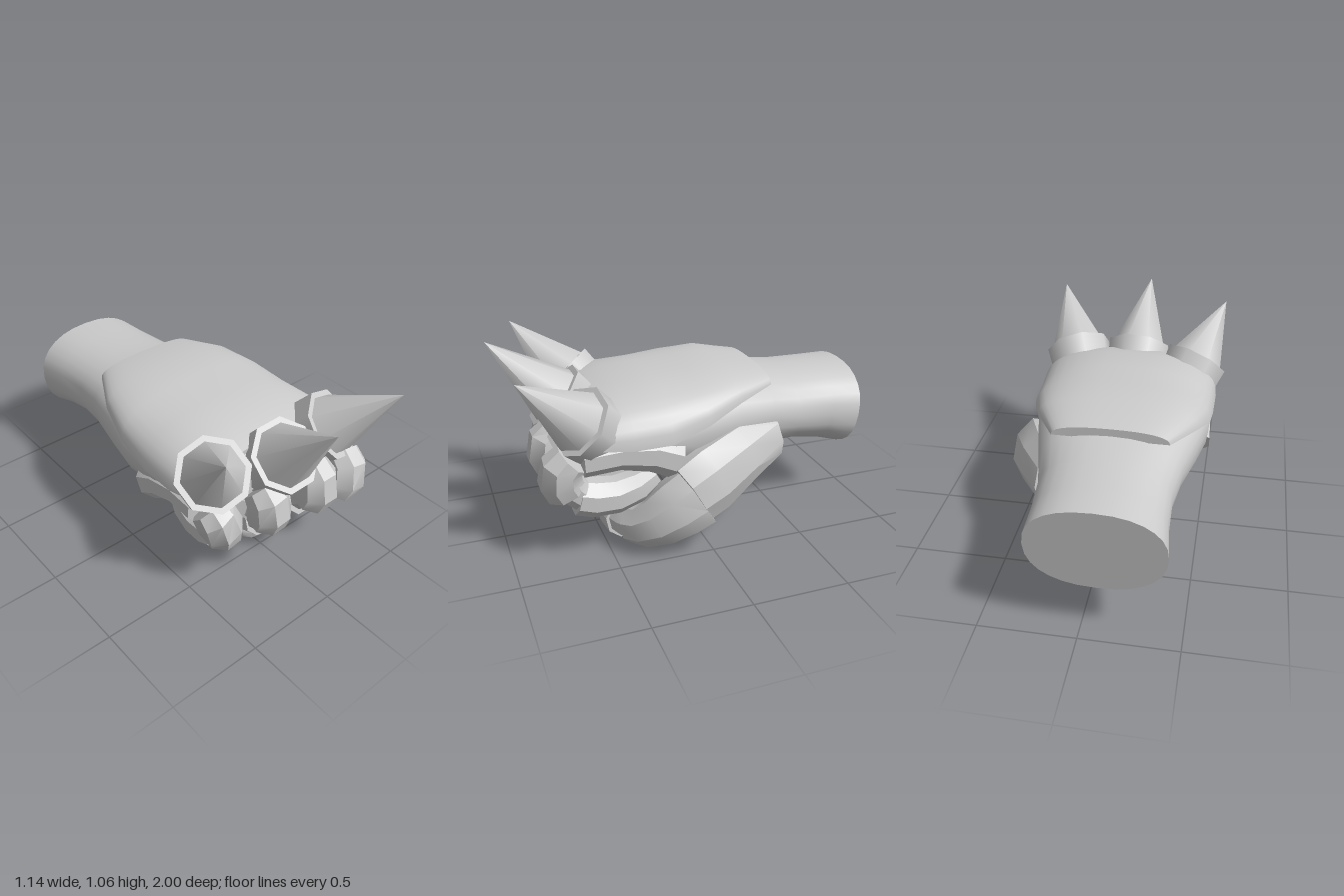
import * as THREE from 'three';
import { toCreasedNormals } from 'three/addons/utils/BufferGeometryUtils.js';

const V = (x, y, z) => new THREE.Vector3(x, y, z);
const material = new THREE.MeshStandardMaterial({ color: 0xcccccc });

// Skin a list of equal-length rings (counter-clockwise about the path) and cap both ends.
function loft(rings, crease) {
  const pos = [];
  const tri = (...p) => p.forEach((v) => pos.push(v.x, v.y, v.z));
  const n = rings[0].length;
  const middle = (r) => r.reduce((s, p) => s.add(p), V(0, 0, 0)).divideScalar(n);
  const first = rings[0], last = rings[rings.length - 1];
  const c0 = middle(first), c1 = middle(last);
  for (let j = 0; j < n; j++) {
    const k = (j + 1) % n;
    for (let i = 0; i < rings.length - 1; i++) {
      const a = rings[i], b = rings[i + 1];
      tri(a[j], a[k], b[k]);
      tri(a[j], b[k], b[j]);
    }
    tri(c0, first[k], first[j]);
    tri(c1, last[j], last[k]);
  }
  const g = new THREE.BufferGeometry();
  g.setAttribute('position', new THREE.Float32BufferAttribute(pos, 3));
  return toCreasedNormals(g, crease);
}

function mesh(name, geometry, parent) {
  const m = new THREE.Mesh(geometry, material);
  m.name = name;
  parent.add(m);
  return m;
}

// Octagonal segment along points [x, y, z, half width, half height].
function segment(name, pts, ref, parent) {
  const p = pts.map((q) => V(q[0], q[1], q[2]));
  const k = 1 / Math.cos(Math.PI / 8);
  const rings = p.map((c, i) => {
    const t = p[Math.min(i + 1, p.length - 1)].clone().sub(p[Math.max(i - 1, 0)]).normalize();
    const side = ref.clone().cross(t).normalize();
    const up = t.clone().cross(side);
    const rw = pts[i][3] * k, rh = (pts[i][4] ?? pts[i][3]) * k;
    return Array.from({ length: 8 }, (_, j) => {
      const a = (j + 0.5) * Math.PI / 4;
      return c.clone().addScaledVector(side, rw * Math.cos(a)).addScaledVector(up, rh * Math.sin(a));
    });
  });
  return mesh(name, loft(rings, 0.55), parent);
}

const soft = (v, e) => Math.sign(v) * Math.abs(v) ** e;

export function createModel() {
  const model = new THREE.Group();
  model.name = 'spikedGauntlet';

  // Wrist and palm: z, centre x, half width, widest y, top, bottom, slant
  const handRows = [
    [-0.967, -0.085, 0.335, 0.52, 0.755, 0.275, -0.13],
    [-0.8, -0.075, 0.325, 0.54, 0.76, 0.325, -0.07],
    [-0.6, -0.065, 0.33, 0.56, 0.765, 0.36, 0],
    [-0.42, -0.06, 0.365, 0.6, 0.785, 0.36, 0],
    [-0.2, -0.06, 0.42, 0.62, 0.82, 0.32, 0],
    [0, -0.055, 0.465, 0.62, 0.83, 0.3, 0],
    [0.18, -0.045, 0.475, 0.6, 0.82, 0.36, 0],
    [0.28, -0.045, 0.475, 0.61, 0.82, 0.48, 0],
    [0.48, -0.04, 0.45, 0.62, 0.8, 0.54, 0],
    [0.62, -0.04, 0.38, 0.63, 0.74, 0.57, 0],
  ];
  const handRings = handRows.map(([z, cx, rx, yc, top, bottom, slant]) =>
    Array.from({ length: 28 }, (_, j) => {
      const a = j / 28 * Math.PI * 2, s = Math.sin(a);
      const y = yc + soft(s, 0.87) * (s > 0 ? top - yc : yc - bottom);
      return V(cx + rx * soft(Math.cos(a), 0.87), y, z + slant * (y - yc));
    }));
  mesh('wristAndPalm', loft(handRings, 0.7), model);

  // Raised plate over the back of the hand: z, centre x, half width, edge y, top
  const plateRows = [
    [-0.42, -0.06, 0.295, 0.765, 0.825],
    [-0.2, -0.06, 0.415, 0.735, 0.865],
    [0, -0.05, 0.475, 0.665, 0.86],
    [0.2, -0.04, 0.492, 0.605, 0.85],
    [0.4, -0.035, 0.5, 0.61, 0.84],
    [0.56, -0.03, 0.47, 0.62, 0.79],
  ];
  const plateRings = plateRows.map(([z, cx, rx, edge, top]) =>
    Array.from({ length: 19 }, (_, j) => {
      const a = j / 18 * Math.PI;
      return V(cx + rx * soft(Math.cos(a), 0.8), edge + (top - edge) * Math.abs(Math.sin(a)) ** 0.8, z);
    }));
  mesh('backPlate', loft(plateRings, 0.7), model);

  // Curled fingers: pieces as [y, z, radius]
  const pieces = {
    Base: [[0.5, 0.16, 0.105], [0.55, 0.28, 0.1], [0.57, 0.45, 0.085], [0.56, 0.64, 0.085]],
    Knuckle: [[0.57, 0.69, 0.088], [0.53, 0.735, 0.1], [0.45, 0.745, 0.105], [0.39, 0.72, 0.098]],
    Joint: [[0.48, 0.72, 0.075], [0.4, 0.69, 0.078], [0.335, 0.63, 0.075], [0.315, 0.52, 0.065]],
    Tip: [[0.34, 0.66, 0.09], [0.318, 0.58, 0.095], [0.312, 0.46, 0.09], [0.345, 0.34, 0.08], [0.395, 0.25, 0.055]],
  };
  // name, x at knuckle, x at tip, height offset, depth offset
  const fingers = [
    ['index', 0.355, 0.31, 0, 0],
    ['middle', 0.11, 0.11, 0.05, 0.01],
    ['ring', -0.165, -0.13, 0.01, -0.05],
    ['little', -0.42, -0.315, -0.04, -0.15],
  ];
  for (const [name, xTop, xTip, dy, dz] of fingers) {
    const finger = new THREE.Group();
    finger.name = name + 'Finger';
    model.add(finger);
    for (const [piece, rows] of Object.entries(pieces)) {
      const pts = rows.map(([y, z, r]) => {
        const f = { Base: 0, Tip: 1 }[piece] ?? THREE.MathUtils.clamp((0.58 - y) / 0.25, 0, 1);
        return [THREE.MathUtils.lerp(xTop, xTip, f), y + dy, z + dz * z / 0.7, r];
      });
      segment(name + piece, pts, V(1, 0, 0), finger);
    }
  }

  // Thumb folded across below the fingers
  const thumb = new THREE.Group();
  thumb.name = 'thumb';
  model.add(thumb);
  const thumbRef = V(0.18, -1, -0.2);
  segment('thumbBase', [[0.25, 0.5, -0.43, 0.07, 0.13], [0.35, 0.45, -0.2, 0.11, 0.155],
    [0.435, 0.385, 0, 0.12, 0.175], [0.455, 0.325, 0.11, 0.105, 0.165]], thumbRef, thumb);
  segment('thumbMiddle', [[0.46, 0.315, 0.08, 0.095, 0.165], [0.455, 0.26, 0.17, 0.1, 0.155],
    [0.42, 0.185, 0.26, 0.1, 0.13], [0.36, 0.135, 0.33, 0.1, 0.11], [0.295, 0.118, 0.37, 0.095, 0.1]], thumbRef, thumb);
  segment('thumbJoint', [[0.37, 0.14, 0.33, 0.08], [0.28, 0.115, 0.38, 0.08],
    [0.18, 0.1, 0.4, 0.08]], thumbRef, thumb);
  segment('thumbTip', [[0.21, 0.1, 0.4, 0.09, 0.095], [0.06, 0.085, 0.41, 0.09, 0.083],
    [-0.04, 0.072, 0.41, 0.065, 0.062], [-0.08, 0.065, 0.41, 0.03, 0.04]], thumbRef, thumb);

  // Knuckle spikes: base centre and point; eight-sided with rounded shading
  const spikes = [
    ['leftSpike', V(0.315, 0.74, 0.64), V(0.45, 1.015, 0.94)],
    ['middleSpike', V(-0.05, 0.75, 0.68), V(-0.075, 1.06, 1)],
    ['rightSpike', V(-0.4, 0.74, 0.56), V(-0.545, 1.02, 0.81)],
  ];
  for (const [name, base, point] of spikes) {
    const spike = new THREE.Group();
    spike.name = name;
    const axis = point.clone().sub(base);
    const length = axis.length();
    spike.position.copy(base);
    spike.quaternion.setFromUnitVectors(V(0, 1, 0), axis.normalize());
    spike.rotateY(Math.PI / 8);
    mesh('spikeCone', new THREE.ConeGeometry(0.16, length, 8).translate(0, length / 2, 0), spike);
    mesh('spikeCollar', new THREE.CylinderGeometry(0.19, 0.168, 0.26, 8).translate(0, -0.128, 0), spike);
    model.add(spike);
  }
  return model;
}
